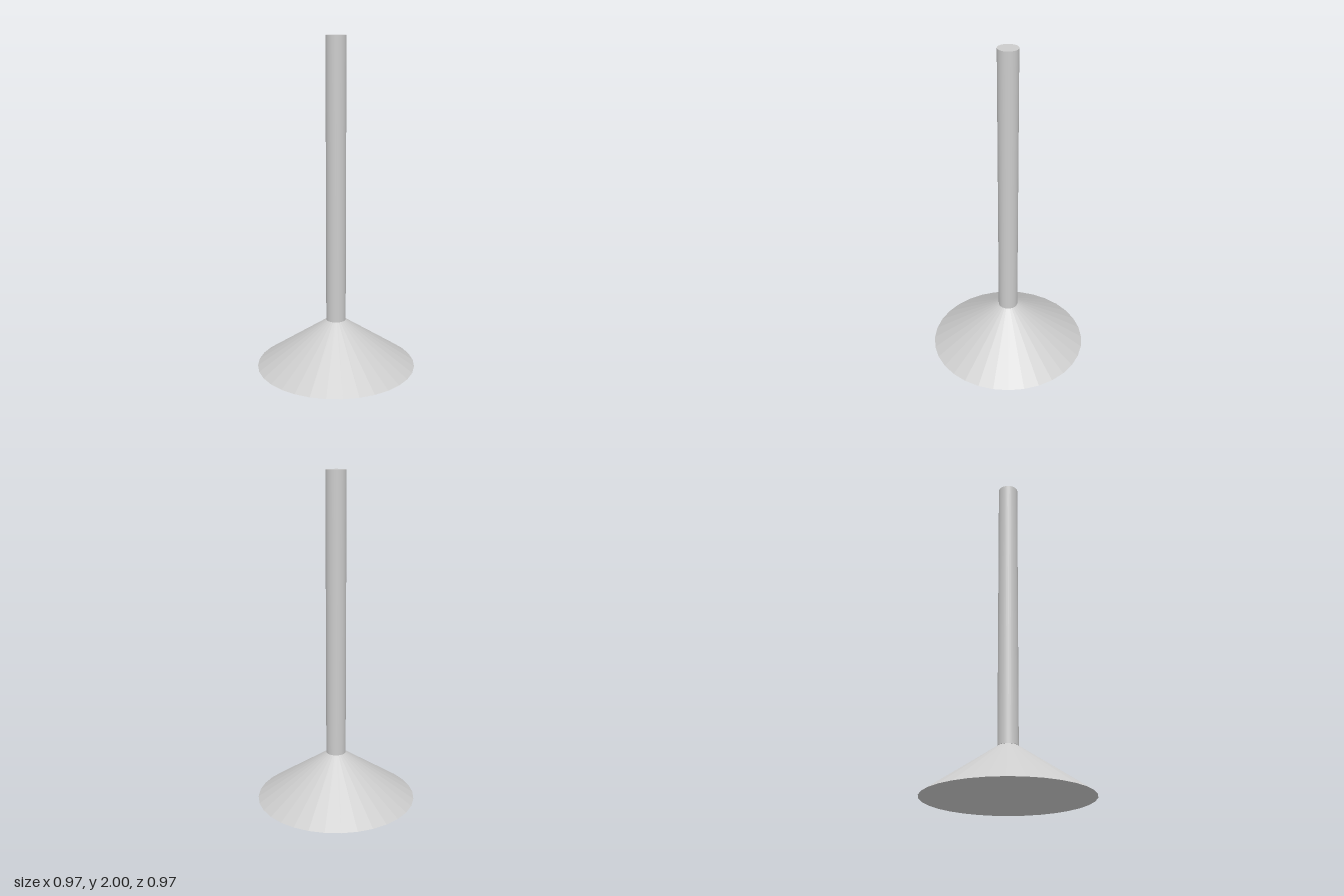
import * as THREE from 'three';

const SIDES = 32;
const BASE_HEIGHT = 0.29;
const TOTAL_HEIGHT = 2;

// Capped round part standing between two heights
function roundPart(name, topRadius, bottomRadius, y0, y1, flatShading) {
  const geometry = new THREE.CylinderGeometry(topRadius, bottomRadius, y1 - y0, SIDES);
  const material = new THREE.MeshStandardMaterial({ color: 0xcccccc, flatShading });
  const mesh = new THREE.Mesh(geometry, material);
  mesh.name = name;
  mesh.position.y = (y0 + y1) / 2;
  return mesh;
}

export function createModel() {
  const model = new THREE.Group();
  model.name = 'postOnConicalBase';

  // Faceted conical foot, slightly narrower than the post where they meet
  model.add(roundPart('base', 0.057, 0.486, 0, BASE_HEIGHT, true));

  // Smooth upright post
  model.add(roundPart('post', 0.06, 0.06, BASE_HEIGHT, TOTAL_HEIGHT, false));

  return model;
}
